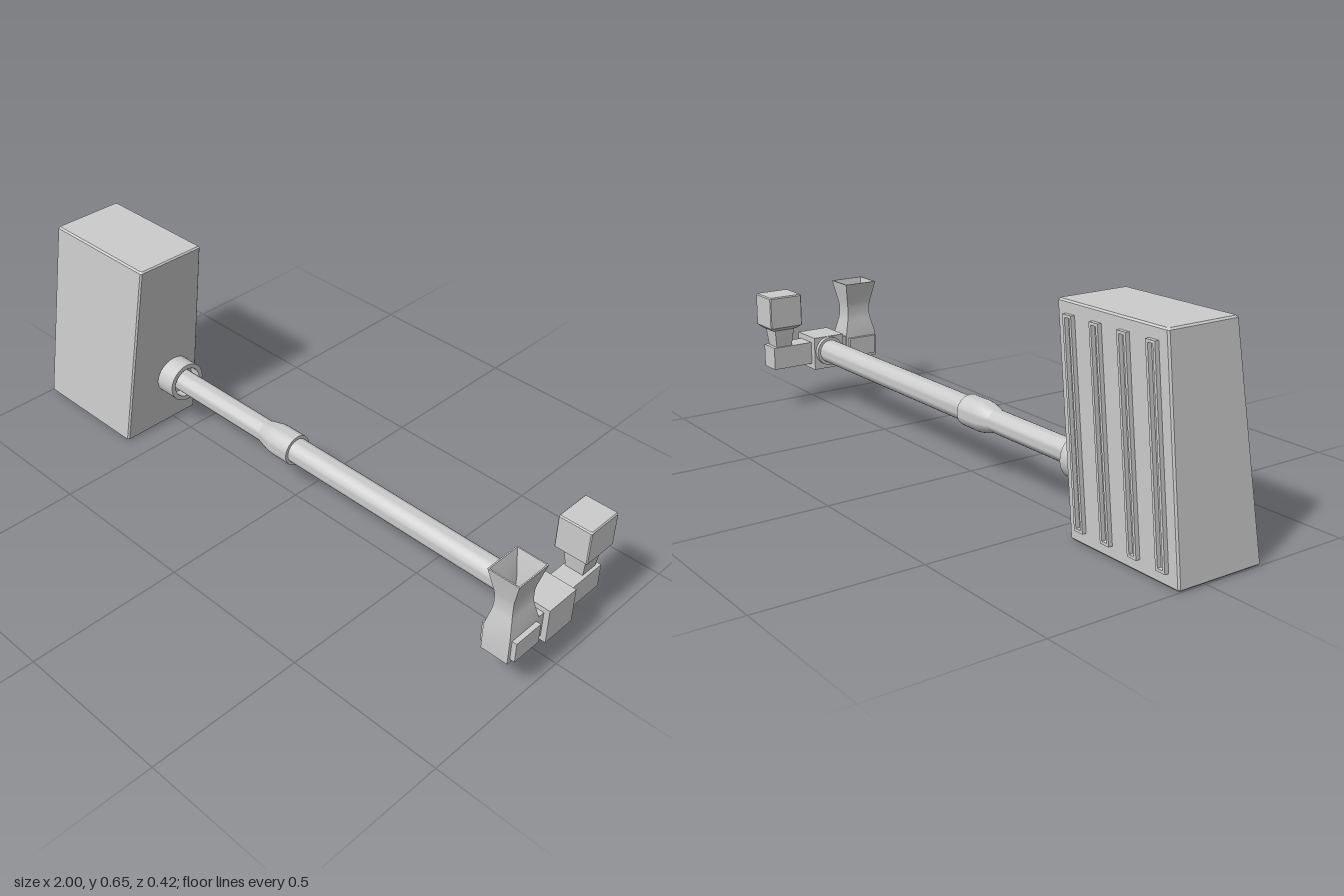
import * as THREE from 'three';
import { toCreasedNormals } from 'three/addons/utils/BufferGeometryUtils.js';

const material = new THREE.MeshStandardMaterial({ color: 0xcccccc });
const AXIS_Y = 0.19, AXIS_Z = 0.008;

function add(parent, name, geometry) {
  const mesh = new THREE.Mesh(geometry, material);
  mesh.name = name;
  parent.add(mesh);
  return mesh;
}

// Box given by its limits on each axis
function box(parent, name, [x0, x1], [y0, y1], [z0, z1]) {
  const mesh = add(parent, name, new THREE.BoxGeometry(x1 - x0, y1 - y0, z1 - z0));
  mesh.position.set((x0 + x1) / 2, (y0 + y1) / 2, (z0 + z1) / 2);
  return mesh;
}

// Stack of rectangular sections [y, x0, x1, z0, z1] with chamfered corners, capped at both ends
function loft(rows, chamfer = 0) {
  const positions = [], index = [];
  const c = chamfer, n = c ? 8 : 4;
  for (const [y, x0, x1, z0, z1] of rows) {
    const ring = c
      ? [[x1 - c, z1], [x1, z1 - c], [x1, z0 + c], [x1 - c, z0], [x0 + c, z0], [x0, z0 + c], [x0, z1 - c], [x0 + c, z1]]
      : [[x1, z1], [x1, z0], [x0, z0], [x0, z1]];
    for (const [x, z] of ring) positions.push(x, y, z);
  }
  const last = (rows.length - 1) * n;
  for (let r = 0; r < last; r += n) {
    for (let i = 0; i < n; i++) {
      const j = (i + 1) % n;
      index.push(r + i, r + j, r + n + j, r + i, r + n + j, r + n + i);
    }
  }
  for (let i = 1; i < n - 1; i++) {
    index.push(0, i + 1, i, last, last + i, last + i + 1);
  }
  const geometry = new THREE.BufferGeometry();
  geometry.setAttribute('position', new THREE.Float32BufferAttribute(positions, 3));
  geometry.setIndex(index);
  return toCreasedNormals(geometry, 0.3);
}

// Turned part along the shaft axis, from [radius, x] pairs
function turned(parent, name, profile) {
  const points = profile.map(([r, x]) => new THREE.Vector2(r, x));
  const mesh = add(parent, name, toCreasedNormals(new THREE.LatheGeometry(points, 32), 0.6));
  mesh.rotation.z = -Math.PI / 2;
  mesh.position.set(0, AXIS_Y, AXIS_Z);
  return mesh;
}

// Section of a square column about a centre
const square = (y, cx, cz, hx, hz) => [y, cx - hx, cx + hx, cz - hz, cz + hz];

export function createModel() {
  const model = new THREE.Group();
  model.name = 'model';

  // Leaning housing with a sloping front
  const LEAN = 0.075 / 0.648, TOP = 0.648, b = 0.005;
  const housingRow = (y, inset) => [
    y, -1 + LEAN * y + inset, -0.585 + LEAN * y - inset,
    -0.09 + inset, 0.197 - 0.049 * y / TOP - inset];
  add(model, 'housing', loft([
    housingRow(0, b), housingRow(b, 0), housingRow(TOP - b, 0), housingRow(TOP, b)], b));

  // Raised slot frames on the back of the housing
  const slots = new THREE.Group();
  slots.name = 'ventSlots';
  model.add(slots);
  const slanted = (x, w, y0, y1) => [
    [x - w + LEAN * y0, y0], [x + w + LEAN * y0, y0], [x + w + LEAN * y1, y1], [x - w + LEAN * y1, y1],
  ].map(([px, py]) => new THREE.Vector2(px, py));
  for (let i = 0; i < 4; i++) {
    const x = -0.792 + (i - 1.5) * 0.104;
    const frame = new THREE.Shape(slanted(x, 0.017, 0.037, 0.613));
    frame.holes.push(new THREE.Path(slanted(x, 0.009, 0.045, 0.605).reverse()));
    const geometry = new THREE.ExtrudeGeometry(frame, { depth: 0.016, bevelEnabled: false });
    add(slots, 'ventSlot', geometry).position.z = -0.103;
  }

  // Shaft with its socket, sleeve and end collar
  turned(model, 'socket', [[0, -0.6], [0.065, -0.6], [0.065, -0.493], [0.05, -0.493], [0.05, -0.53], [0, -0.53]]);
  turned(model, 'innerShaft', [[0, -0.56], [0.036, -0.56], [0.036, 0], [0, 0]]);
  turned(model, 'outerShaft', [[0, -0.03], [0.04, -0.03], [0.04, 0.9], [0, 0.9]]);
  turned(model, 'sleeve', [
    [0.034, -0.125], [0.038, -0.115], [0.043, -0.095], [0.048, -0.075], [0.05, -0.055], [0.05, 0.015], [0.038, 0.015]]);
  turned(model, 'endCollar', [[0, 0.865], [0.05, 0.865], [0.05, 0.89], [0, 0.89]]);

  // Hub block at the end of the shaft
  box(model, 'hub', [0.88, 0.997], [0.127, 0.241], [-0.047, 0.068]);

  // Front arm carrying an open funnel
  const front = new THREE.Group();
  front.name = 'funnelArm';
  model.add(front);
  box(front, 'frontArm', [0.9, 0.98], [0.142, 0.225], [0.05, 0.12]);
  box(front, 'sidePads', [0.884, 0.996], [0.152, 0.217], [0.1, 0.201]);
  const fx = 0.938, fz = 0.151;
  add(front, 'funnel', loft([
    square(0.14, fx, fz, 0.043, 0.06),
    square(0.225, fx, fz, 0.043, 0.06),
    square(0.28, fx, fz, 0.032, 0.046),
    square(0.295, fx, fz, 0.03, 0.044),
    square(0.325, fx, fz, 0.03, 0.044),
    square(0.34, fx, fz, 0.032, 0.046),
    square(0.413, fx, fz, 0.05, 0.06),
    square(0.413, fx, fz, 0.046, 0.056),
    square(0.335, fx, fz, 0.027, 0.041),
    square(0.29, fx, fz, 0.026, 0.04),
  ]));

  // Rear arm carrying a cube head on a flared neck
  const rear = new THREE.Group();
  rear.name = 'headArm';
  model.add(rear);
  box(rear, 'rearArm', [0.903, 0.977], [0.145, 0.222], [-0.192, -0.04]);
  const hx = 0.938, hz = -0.15;
  add(rear, 'neck', loft([
    square(0.215, hx, hz, 0.028, 0.028),
    square(0.29, hx, hz, 0.036, 0.037),
  ]));
  add(rear, 'head', loft([
    square(0.284, hx, hz, 0.04, 0.047),
    square(0.296, hx, hz, 0.053, 0.06),
    square(0.4, hx, hz, 0.053, 0.06),
    square(0.404, hx, hz, 0.05, 0.057),
  ], 0.003));

  return model;
}
